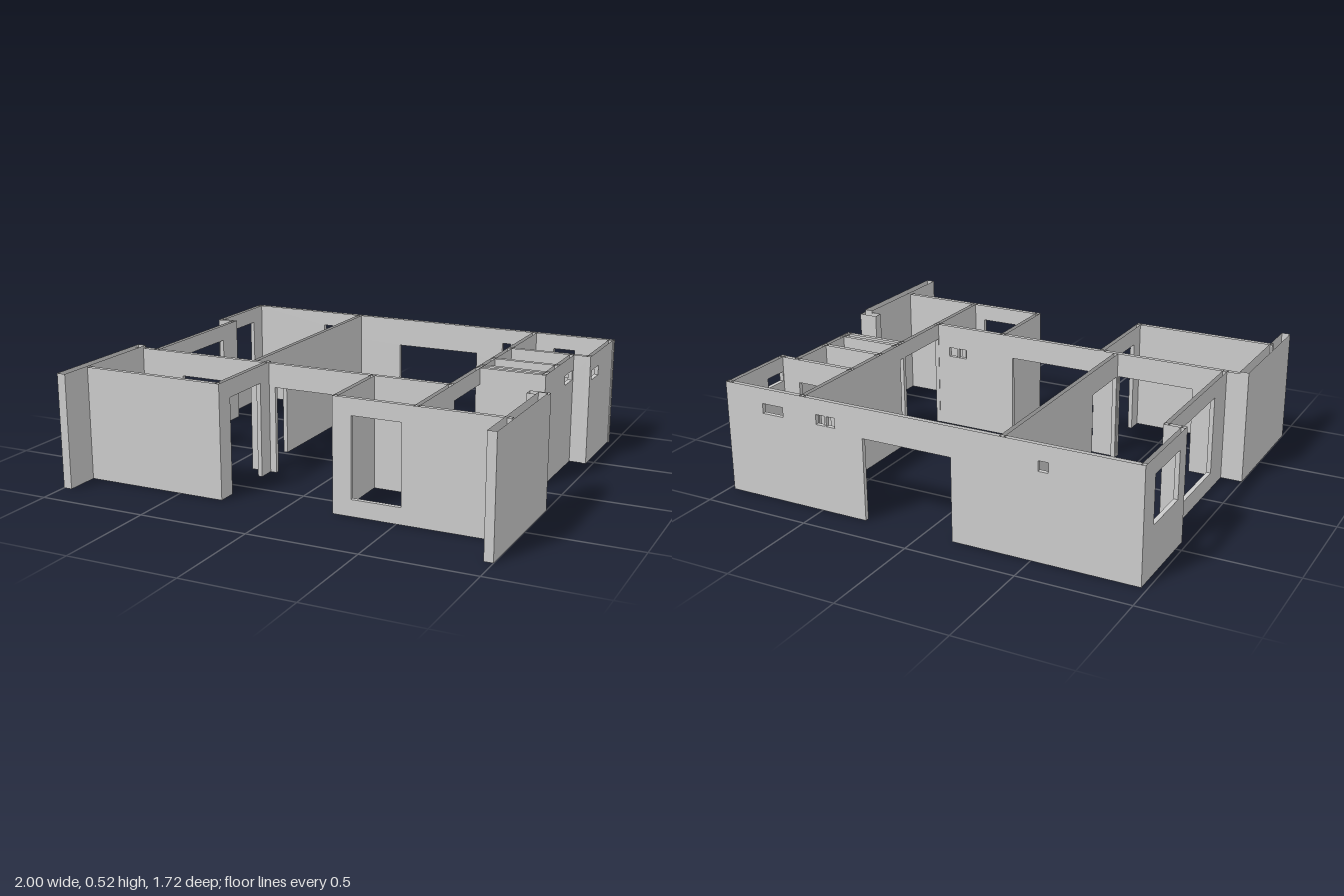
import * as THREE from 'three';

const H = 0.51, DOOR = 0.4;
const material = new THREE.MeshStandardMaterial({ color: 0xcccccc, side: THREE.DoubleSide, flatShading: true });

// Removes the faces lying flat on the ground or on the wall's top: the walls are hollow there.
function openEnds(geometry, h) {
  const g = geometry.index ? geometry.toNonIndexed() : geometry;
  const p = g.attributes.position, kept = [];
  for (let i = 0; i < p.count; i += 3) {
    const flat = (y) => [0, 1, 2].every((k) => Math.abs(p.getY(i + k) - y) < 1e-5);
    if (flat(0) || flat(h)) continue;
    for (let k = 0; k < 3; k++) kept.push(p.getX(i + k), p.getY(i + k), p.getZ(i + k));
  }
  const out = new THREE.BufferGeometry();
  out.setAttribute('position', new THREE.Float32BufferAttribute(kept, 3));
  out.computeVertexNormals();
  return out;
}

// A wall along 'x' or 'z'. Openings are [from, to, bottom, top]; bottom 0 makes a doorway.
function wall(name, axis, at, from, to, openings = [], h = H, t = 0.02) {
  const shape = new THREE.Shape();
  shape.moveTo(from, 0);
  for (const [a, b, y0, y1] of openings) {
    if (y0 === 0) {
      shape.lineTo(a, 0); shape.lineTo(a, y1);
      shape.lineTo(b, y1); shape.lineTo(b, 0);
    } else {
      const hole = new THREE.Path();
      hole.moveTo(a, y0); hole.lineTo(a, y1);
      hole.lineTo(b, y1); hole.lineTo(b, y0);
      hole.closePath();
      shape.holes.push(hole);
    }
  }
  shape.lineTo(to, 0); shape.lineTo(to, h); shape.lineTo(from, h);
  shape.closePath();
  const solid = new THREE.ExtrudeGeometry(shape, { depth: t, bevelEnabled: false });
  solid.translate(0, 0, -t / 2);
  if (axis === 'z') solid.rotateY(-Math.PI / 2);
  const mesh = new THREE.Mesh(openEnds(solid, h), material);
  mesh.name = name;
  if (axis === 'x') mesh.position.z = at; else mesh.position.x = at;
  return mesh;
}

export function createModel() {
  const house = new THREE.Group();
  house.name = 'houseWalls';
  const vents = (y0, y1) => [[0.415, 0.457, y0, y1], [0.465, 0.51, y0, y1]];

  house.add(
    // Back of the house
    wall('backWall', 'x', -0.85, -0.975, 0.975, [
      [-0.575, -0.53, 0.395, 0.44], [-0.14, 0.28, 0, 0.375],
      ...vents(0.395, 0.44), [0.68, 0.785, 0.395, 0.44]]),

    // Right-hand side in plan (-x), stepping inwards
    wall('bedroomWindowWall', 'z', -0.965, -0.86, -0.43, [[-0.755, -0.5, 0.22, 0.435]]),
    wall('bedroomReturnWall', 'x', -0.44, -0.975, -0.88),
    wall('largeWindowWall', 'z', -0.89, -0.45, 0.27, [[-0.315, 0.105, 0.08, 0.435]]),
    wall('outerWallMinusX', 'z', -0.98, 0.25, 0.86, [], 0.52, 0.04),

    // Long middle wall and partition
    wall('middleWall', 'x', 0.26, -1, 0.59, [
      [-0.745, -0.385, 0, DOOR], [-0.26, 0.165, 0, DOOR], ...vents(0.355, 0.4)]),
    wall('partition', 'z', -0.37, -0.86, 0.25, [[-0.02, 0.24, 0, DOOR]]),

    // Front room on the -x side
    wall('frontRoomWall', 'x', 0.69, -0.97, -0.29, [], 0.515),
    wall('frontRoomDoorWall', 'z', -0.3, 0.25, 0.7, [[0.35, 0.61, 0, 0.435]], 0.515),

    // Front room and porch on the +x side
    wall('porchFrontWall', 'x', 0.63, 0.21, 0.98, [[0.295, 0.52, 0.075, 0.435]]),
    wall('smallRoomWall', 'z', 0.22, 0.25, 0.64),
    wall('outerWallPlusX', 'z', 0.98, 0.26, 0.86, [], 0.52, 0.04),
    wall('porchPillar', 'x', 0.238, 0.91, 1, [], H, 0.045),
    wall('porchDoorWall', 'z', 0.58, -0.86, 0.64, [
      [-0.75, -0.645, 0, DOOR], [-0.105, 0.248, 0, 0.435], [0.35, 0.515, 0, DOOR]]),

    // Small rooms in the back corner on the +x side
    wall('highWindowWallBack', 'z', 0.96, -0.86, -0.465, [[-0.605, -0.495, 0.395, 0.44]]),
    wall('highWindowWallFront', 'z', 0.88, -0.48, -0.055, [[-0.455, -0.345, 0.395, 0.44]]),
    wall('smallRoomDividerBack', 'x', -0.48, 0.57, 0.97, [[0.755, 0.865, 0, DOOR]]),
    wall('smallRoomDividerFront', 'x', -0.255, 0.57, 0.89, [[0.61, 0.715, 0, DOOR]]),
    wall('closetWall', 'x', -0.065, 0.57, 0.89),
    wall('closetLintel', 'x', -0.11, 0.57, 0.89, [[0.58, 0.88, 0, 0.435]]),
  );
  return house;
}
